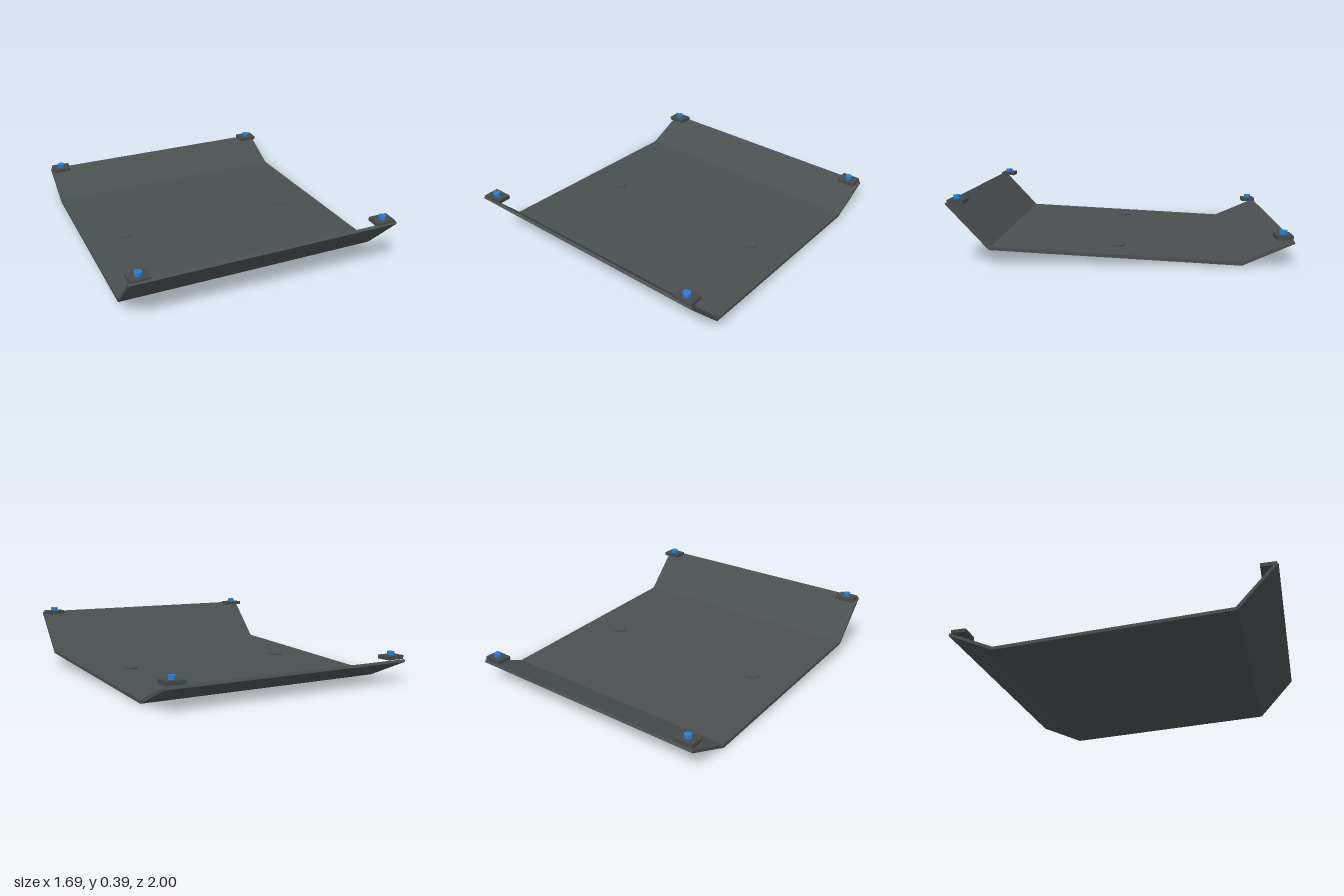
import * as THREE from 'three';

export function createModel() {
  const model = new THREE.Group();
  model.name = 'bentTray';
  const plate = new THREE.MeshStandardMaterial({ name: 'dark grey plate', color: 0x4a4f4f });
  const block = new THREE.MeshStandardMaterial({ name: 'dark grey block', color: 0x464949 });
  const blue = new THREE.MeshStandardMaterial({ name: 'blue bolt', color: 0x2b7bd0 });
  blue.flatShading = true;

  const add = (name, geometry, material, x, y, z, parent = model) => {
    const mesh = new THREE.Mesh(geometry, material);
    mesh.name = name;
    mesh.position.set(x, y, z);
    parent.add(mesh);
    return mesh;
  };

  // Bent sheet: side section as (z, y), underside first, then the upper side
  const width = 1.69;
  const section = [
    [-1, 0.13], [-0.7, 0], [0.752, 0.08], [1, 0.348],
    [0.986, 0.36], [0.744, 0.099], [-0.702, 0.021], [-0.993, 0.146],
  ].map(([z, y]) => new THREE.Vector2(z, y));
  const sheet = new THREE.ExtrudeGeometry(new THREE.Shape(section), { depth: width, bevelEnabled: false });
  sheet.translate(0, 0, -width / 2).rotateY(-Math.PI / 2);
  add('bentPlate', sheet, plate, 0, 0, 0);

  // Low round studs on the floor
  const stud = new THREE.CylinderGeometry(0.044, 0.044, 0.016, 24);
  for (const side of [-1, 1]) add('floorStud', stud, plate, side * 0.578, 0.06, 0.022);

  // Corner mounts: a flat block with a blue bolt on top
  const blockGeo = new THREE.BoxGeometry(0.123, 0.024, 0.095);
  const boltGeo = new THREE.CylinderGeometry(0.024, 0.024, 0.024, 8);
  for (const [end, y, z] of [['front', 0.357, 0.943], ['rear', 0.16, -0.943]]) {
    for (const side of [-1, 1]) {
      const mount = new THREE.Group();
      mount.name = `${end}${side > 0 ? 'Left' : 'Right'}Mount`;
      mount.position.set(side * 0.775, y, z);
      add('mountBlock', blockGeo, block, 0, 0, 0, mount);
      add('bolt', boltGeo, blue, 0, 0.023, 0, mount);
      model.add(mount);
    }
  }
  return model;
}
